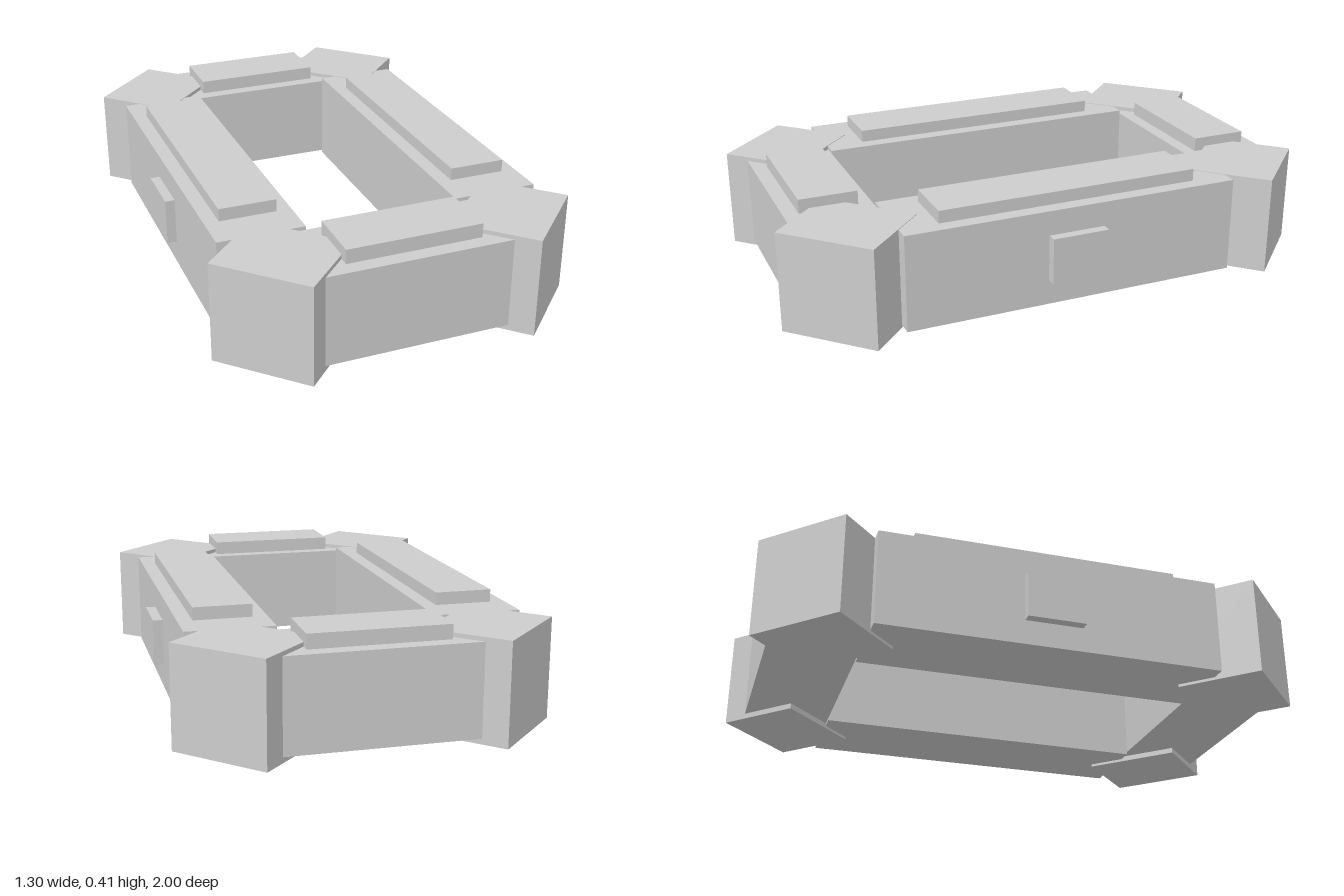
import * as THREE from 'three';

export function createModel() {
  const model = new THREE.Group();
  const stone = new THREE.MeshStandardMaterial({ color: 0xcccccc });
  stone.name = 'light grey stone';

  // Box given by its minimum and maximum corners
  function block(name, [x0, y0, z0], [x1, y1, z1]) {
    const mesh = new THREE.Mesh(new THREE.BoxGeometry(x1 - x0, y1 - y0, z1 - z0), stone);
    mesh.position.set((x0 + x1) / 2, (y0 + y1) / 2, (z0 + z1) / 2);
    mesh.name = name;
    model.add(mesh);
  }

  // Long side walls with a raised cap and an outer knob
  for (const [side, s] of [['left', 1], ['right', -1]]) {
    const span = (a, b) => (s > 0 ? [a, b] : [-b, -a]);
    const add = (name, a, b, y0, y1, z) => {
      const [x0, x1] = span(a, b);
      block(`${side}${name}`, [x0, y0, -z], [x1, y1, z]);
    };
    add('Wall', 0.277, 0.587, 0.01, 0.36, 0.623);
    add('WallCap', 0.33, 0.535, 0.36, 0.405, 0.485);
    add('WallKnob', 0.58, 0.622, 0.1, 0.27, 0.105);
  }

  // Short end walls with a raised cap
  for (const [end, s] of [['front', 1], ['back', -1]]) {
    const add = (name, x, y0, y1, a, b) => {
      const z = s > 0 ? [a, b] : [-b, -a];
      block(`${end}${name}`, [-x, y0, z[0]], [x, y1, z[1]]);
    };
    add('Wall', 0.333, 0.02, 0.347, 0.623, 0.936);
    add('WallCap', 0.242, 0.347, 0.398, 0.673, 0.882);
  }

  // Corner blocks turned 45 degrees, broad face outwards
  for (const sx of [1, -1]) {
    for (const sz of [1, -1]) {
      const corner = new THREE.Mesh(new THREE.BoxGeometry(0.362, 0.362, 0.309), stone);
      corner.position.set(sx * 0.415, 0.181, sz * 0.763);
      corner.rotation.y = Math.atan2(sx, sz);
      corner.name = `${sz > 0 ? 'front' : 'back'}${sx > 0 ? 'Left' : 'Right'}Corner`;
      model.add(corner);
    }
  }
  return model;
}
